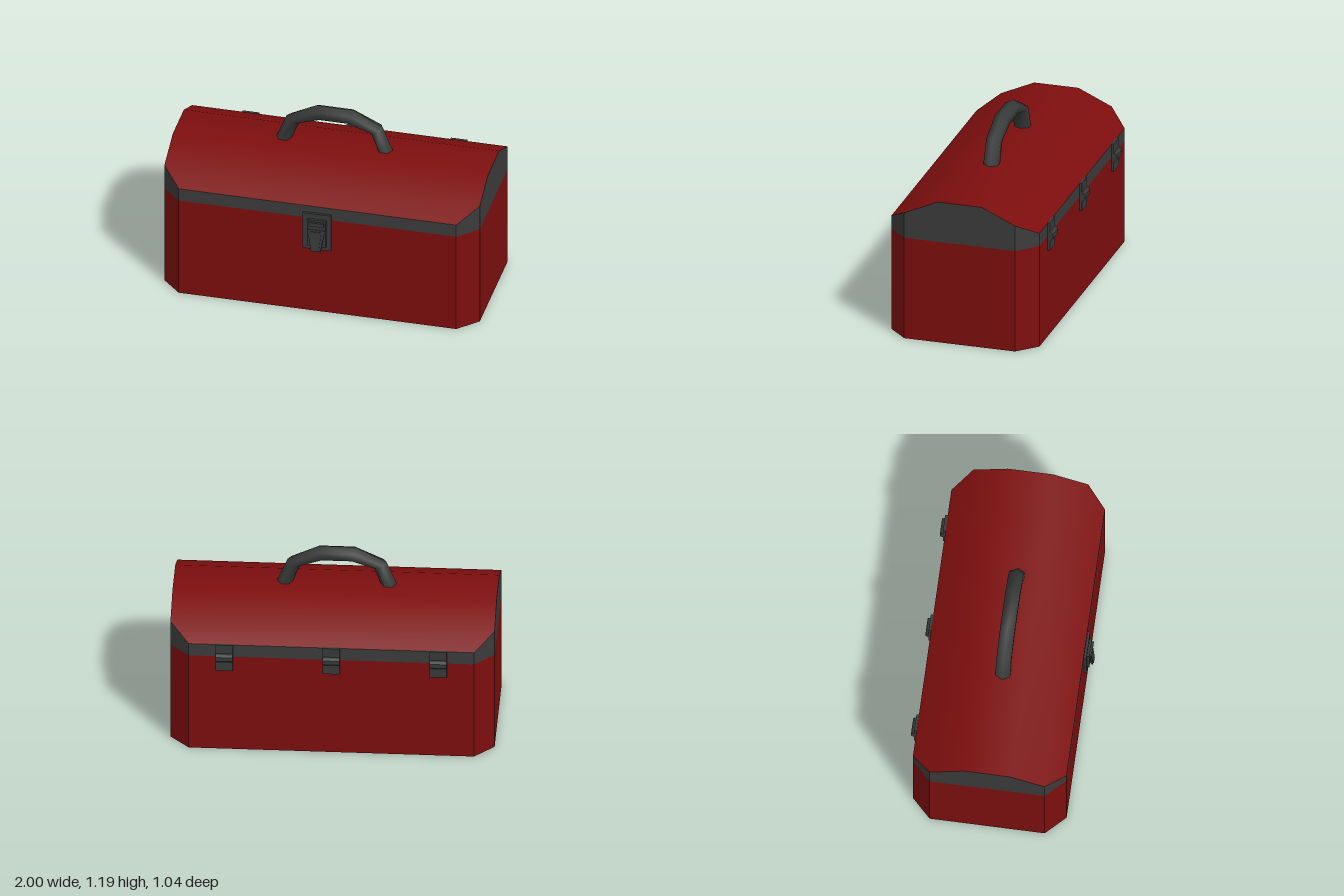
import * as THREE from 'three';

const red = new THREE.MeshStandardMaterial({ color: 0x7d0e0e });
red.name = 'red paint';
const trim = new THREE.MeshStandardMaterial({ color: 0x3b3b3b });
trim.name = 'dark trim';
const hardware = new THREE.MeshStandardMaterial({ color: 0x383a3a });
hardware.name = 'dark hardware';

const SEAM = 0.67;

// Lid profile from front to back: z, y, half width
const PROFILE = [
  [0.47, 0.755, 0.88], [0.35, 0.837, 1], [0.135, 0.935, 1],
  [-0.15, 0.935, 1], [-0.365, 0.837, 1], [-0.485, 0.755, 0.88],
];

// Plan outline: front left corner, along the +x end, back along the -x end
const OUTLINE = [
  ...PROFILE.map(([z, y, w]) => [w, z, y]),
  ...PROFILE.map(([z, y, w]) => [-w, z, y]).reverse(),
];

function mesh(name, geometry, material, parent) {
  const m = new THREE.Mesh(geometry, material);
  m.name = name;
  parent.add(m);
  return m;
}

function box(name, w, h, d, x, y, z, parent, material = hardware) {
  const m = mesh(name, new THREE.BoxGeometry(w, h, d), material, parent);
  m.position.set(x, y, z);
  return m;
}

function buffer(positions, index) {
  const g = new THREE.BufferGeometry();
  g.setAttribute('position', new THREE.Float32BufferAttribute(positions, 3));
  if (index) g.setIndex(index);
  g.computeVertexNormals();
  return g;
}

function extrude(points, depth) {
  const shape = new THREE.Shape(points.map(([x, y]) => new THREE.Vector2(x, y)));
  return new THREE.ExtrudeGeometry(shape, { depth, bevelEnabled: false });
}

// Upright lid walls with flat faces, following the roof edge
function lidWalls() {
  const p = [];
  OUTLINE.forEach(([x, z, y], i) => {
    const [x2, z2, y2] = OUTLINE[(i + 1) % OUTLINE.length];
    p.push(x, SEAM, z, x2, SEAM, z2, x2, y2, z2);
    p.push(x, SEAM, z, x2, y2, z2, x, y, z);
  });
  return buffer(p);
}

// Smooth roof lofted over the lid profile
function roof() {
  const p = [], index = [];
  PROFILE.forEach(([z, y, w], i) => {
    p.push(-w, y, z, w, y, z);
    const a = i * 2;
    if (i < PROFILE.length - 1) index.push(a, a + 1, a + 3, a, a + 3, a + 2);
  });
  return buffer(p, index);
}

// Six-sided grip lofted between outer and inner outline points
function grip() {
  const half = [
    [0.375, 0.92, 0.275, 0.92], [0.305, 1.09, 0.225, 1.055], [0.115, 1.19, 0.085, 1.09],
  ];
  const sections = [
    ...half.map(([a, b, c, d]) => [-a, b, -c, d]),
    ...half.slice().reverse(),
  ];
  const ring = [[0, 0], [0.25, 0.046], [0.75, 0.046], [1, 0], [0.75, -0.046], [0.25, -0.046]];
  const p = [], index = [];
  sections.forEach(([ox, oy, ix, iy], s) => {
    ring.forEach(([t, z], k) => {
      p.push(ox + (ix - ox) * t - 0.006, oy + (iy - oy) * t, z);
      if (s === sections.length - 1) return;
      const n = (k + 1) % 6, a = s * 6 + k, b = s * 6 + n;
      index.push(a, b, b + 6, a, b + 6, a + 6);
    });
  });
  return buffer(p, index);
}

function addLatch(parent) {
  const latch = new THREE.Group();
  latch.name = 'frontLatch';
  parent.add(latch);
  box('latchBackPlate', 0.18, 0.255, 0.017, 0, 0.5825, 0.4765, latch);
  box('latchPlate', 0.12, 0.19, 0.018, 0, 0.58, 0.491, latch);
  box('latchCatch', 0.095, 0.026, 0.014, 0, 0.648, 0.506, latch);
  // Tapered lever leaning out at the bottom, with a raised rib
  const lever = new THREE.Group();
  lever.name = 'latchLever';
  lever.position.set(0, 0.605, 0.496);
  lever.rotation.x = -0.09;
  latch.add(lever);
  mesh('leverBody', extrude([[-0.055, 0], [-0.03, -0.148], [0.03, -0.148], [0.055, 0]], 0.009), hardware, lever);
  mesh('leverRib', extrude([[-0.033, -0.012], [-0.02, -0.146], [0.02, -0.146], [0.033, -0.012]], 0.014), hardware, lever);
}

function addHinge(x, parent) {
  const hinge = new THREE.Group();
  hinge.name = 'rearHinge';
  hinge.position.x = x;
  parent.add(hinge);
  box('hingeLeaf', 0.105, 0.185, 0.016, 0, 0.6675, -0.492, hinge);
  // Faceted knuckle running across the hinge
  const knuckle = extrude([[-0.495, 0.7], [-0.51, 0.695], [-0.52, 0.682], [-0.52, 0.655], [-0.51, 0.645], [-0.495, 0.637]], 0.105);
  knuckle.rotateY(-Math.PI / 2);
  knuckle.translate(0.0525, 0, 0);
  mesh('hingeKnuckle', knuckle, hardware, hinge);
}

export function createModel() {
  const group = new THREE.Group();
  group.name = 'toolbox';

  // Lower box with cut corners
  const plan = OUTLINE.filter(([, z]) => Math.abs(z) > 0.2).map(([x, z]) => [x, -z]);
  const body = extrude(plan, SEAM);
  body.rotateX(-Math.PI / 2);
  mesh('body', body, red, group);

  // Lid
  mesh('lidWalls', lidWalls(), trim, group);
  mesh('lidRoof', roof(), red, group);

  // Handle and fittings
  mesh('handle', grip(), hardware, group);
  addLatch(group);
  for (const x of [-0.66, 0, 0.66]) addHinge(x, group);

  return group;
}
